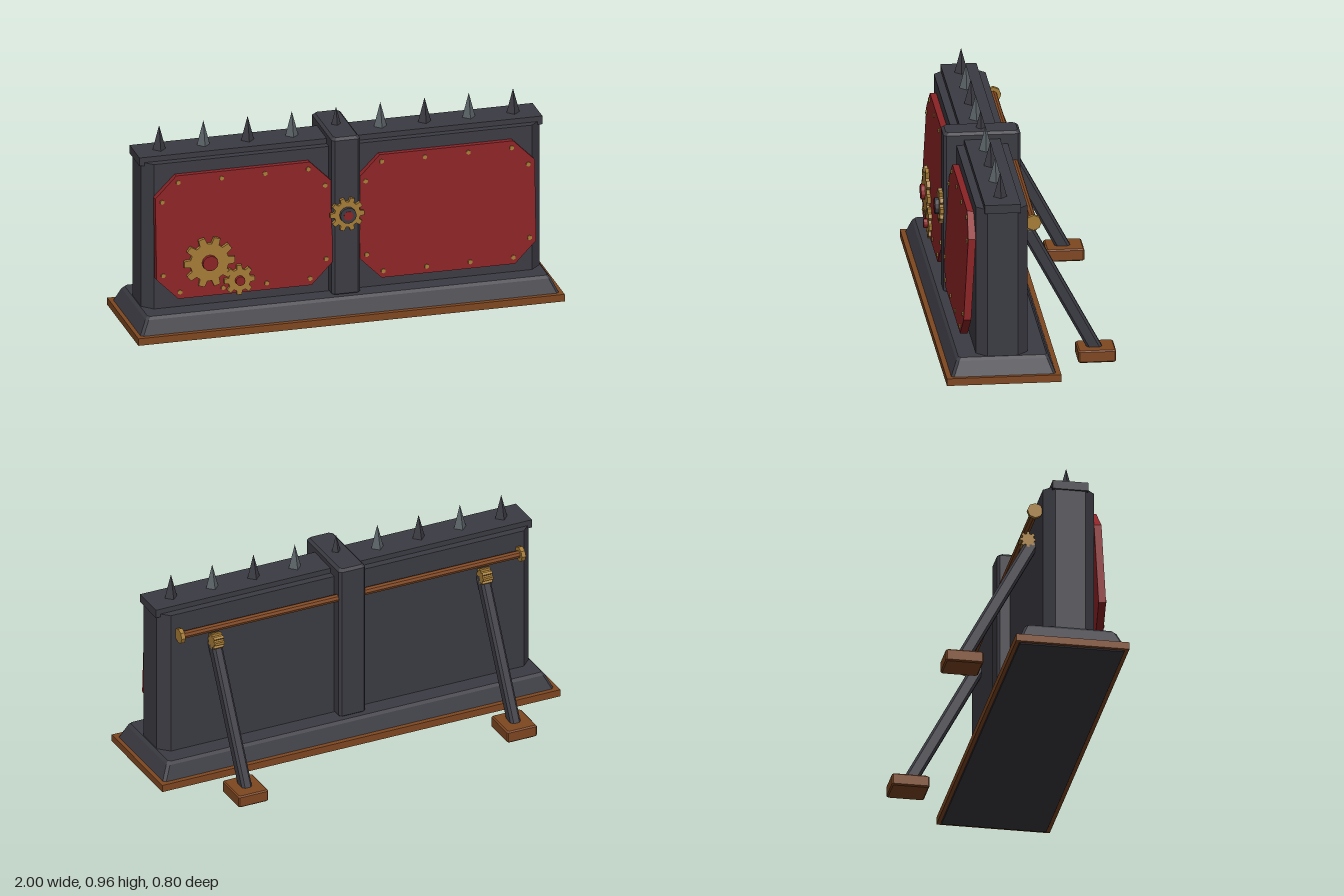
import * as THREE from 'three';

const material = (name, color) => {
  const m = new THREE.MeshStandardMaterial({ color });
  m.name = name;
  return m;
};

// Flat facets on any geometry
function flat(geometry) {
  const g = geometry.index ? geometry.toNonIndexed() : geometry;
  g.computeVertexNormals();
  return g;
}

// Stacks rectangles with cut corners; each level is [y, halfX, halfZ, cornerCut]
function loft(levels) {
  const rings = levels.map(([y, x, z, c]) => [
    [x, z - c], [x, c - z], [x - c, -z], [c - x, -z],
    [-x, c - z], [-x, z - c], [c - x, z], [x - c, z],
  ].map(([px, pz]) => [px, y, pz]));
  const pos = [];
  const tri = (...pts) => pts.forEach((p) => pos.push(...p));
  for (let k = 0; k < rings.length - 1; k++) {
    for (let i = 0; i < 8; i++) {
      const j = (i + 1) % 8, lo = rings[k], hi = rings[k + 1];
      tri(lo[i], lo[j], hi[j]);
      tri(lo[i], hi[j], hi[i]);
    }
  }
  const bottom = rings[0], top = rings[rings.length - 1];
  for (let i = 1; i < 7; i++) {
    tri(top[0], top[i], top[i + 1]);
    tri(bottom[0], bottom[i + 1], bottom[i]);
  }
  const g = new THREE.BufferGeometry();
  g.setAttribute('position', new THREE.Float32BufferAttribute(pos, 3));
  g.computeVertexNormals();
  return g;
}

// Box with all edges bevelled, standing on y0
const bevelBox = (hx, hz, y0, y1, b) => loft([
  [y0, hx - b, hz - b, b], [y0 + b, hx, hz, b], [y1 - b, hx, hz, b], [y1, hx - b, hz - b, b],
]);

// Toothed wheel lying in the XY plane, back face on z = 0
function gearGeometry(teeth, outer, root, depth) {
  const shape = new THREE.Shape();
  const step = (Math.PI * 2) / teeth;
  for (let i = 0; i < teeth; i++) {
    [[-0.32, root], [-0.2, outer], [0.2, outer], [0.32, root]].forEach(([t, r], k) => {
      const a = (i + t) * step;
      shape[i + k ? 'lineTo' : 'moveTo'](Math.cos(a) * r, Math.sin(a) * r);
    });
  }
  shape.closePath();
  return new THREE.ExtrudeGeometry(shape, { depth, bevelEnabled: false });
}

// Disc facing +z, back face on z = 0
const disc = (r, depth, sides) =>
  flat(new THREE.CylinderGeometry(r, r, depth, sides).rotateX(Math.PI / 2).translate(0, 0, depth / 2));

export function createModel() {
  const iron = material('dark iron', 0x3b3b43);
  const steel = material('spike steel', 0x5c6468);
  const red = material('red paint', 0x8c2326);
  const brass = material('brass', 0xa67c36);
  const copper = material('copper', 0x7f4721);

  const model = new THREE.Group();
  model.name = 'barricade';
  const add = (name, geometry, mat, x = 0, y = 0, z = 0, parent = model) => {
    const mesh = new THREE.Mesh(geometry, mat);
    mesh.name = name;
    mesh.position.set(x, y, z);
    parent.add(mesh);
    return mesh;
  };
  const midZ = 0.14;

  // Base, trim and sloped plinth
  add('baseUnderside', loft([[0, 0.98, 0.24, 0.005], [0.012, 0.985, 0.245, 0.005]]), iron, 0, 0, midZ);
  add('baseTrim', new THREE.BoxGeometry(2, 0.034, 0.52), copper, 0, 0.023, midZ);
  add('plinth', loft([
    [0.038, 0.982, 0.238, 0.012], [0.105, 0.95, 0.211, 0.012], [0.118, 0.938, 0.2, 0.012],
  ]), iron, 0, 0, midZ);

  // Wall with cut corners, cap and centre pillar
  add('wall', loft([[0.11, 0.935, 0.117, 0.048], [0.82, 0.935, 0.117, 0.048]]), iron, 0, 0, midZ);
  add('wallCap', new THREE.BoxGeometry(1.89, 0.04, 0.164), iron, 0, 0.825, midZ);
  add('pillar', bevelBox(0.067, 0.175, 0.11, 0.878, 0.012), iron, 0, 0, midZ);

  // Row of spikes, alternating shades
  const spike = flat(new THREE.ConeGeometry(0.031, 0.118, 4));
  for (let i = -4; i <= 4; i++) {
    add('spike', spike, i % 2 ? steel : iron, i * 0.2075, 0.902, midZ);
  }

  // Tilted red panels with rivets
  const w = 0.413, h = 0.293, c = 0.1;
  const outline = new THREE.Shape([
    [w, c - h], [w, h - c], [w - c, h], [c - w, h], [-w, h - c], [-w, c - h], [c - w, -h], [w - c, -h],
  ].map(([x, y]) => new THREE.Vector2(x, y)));
  const panelGeometry = new THREE.ExtrudeGeometry(outline, { depth: 0.034, bevelEnabled: false });
  const rivet = disc(0.011, 0.007, 6);
  for (const side of [-1, 1]) {
    const panel = new THREE.Group();
    panel.name = side > 0 ? 'leftPanel' : 'rightPanel';
    panel.position.set(side * 0.477, 0.472, 0.285);
    panel.rotation.x = -0.055;
    model.add(panel);
    add('panelPlate', panelGeometry, red, 0, 0, -0.017, panel);
    for (const sy of [-1, 1]) {
      for (const x of [-0.305, -0.102, 0.102, 0.305]) add('rivet', rivet, brass, x, sy * 0.261, 0.016, panel);
      for (const sx of [-1, 1]) add('rivet', rivet, brass, sx * 0.382, sy * 0.175, 0.016, panel);
    }
  }

  // Front gears with hubs
  const gear = (name, x, y, z, teeth, outer, root, hubR, hubMat) => {
    const g = new THREE.Group();
    g.name = name;
    g.position.set(x, y, z);
    model.add(g);
    add('gearWheel', gearGeometry(teeth, outer, root, 0.017), brass, 0, 0, 0, g);
    add('gearHub', disc(hubR, 0.035, 12), hubMat, 0, 0, 0, g);
    return g;
  };
  gear('largeGear', -0.645, 0.345, 0.309, 10, 0.12, 0.09, 0.036, red);
  gear('smallGear', -0.505, 0.245, 0.311, 8, 0.072, 0.053, 0.022, red);
  const pillarGear = gear('pillarGear', 0, 0.51, 0.315, 10, 0.08, 0.061, 0.038, iron);
  add('hubCentre', disc(0.022, 0.004, 12), red, 0, 0, 0.033, pillarGear);

  // Rear rail with end caps
  const rail = flat(new THREE.CylinderGeometry(0.018, 0.018, 1.7, 8).rotateZ(Math.PI / 2));
  add('rearRail', rail, copper, 0, 0.725, -0.008);
  const railCap = flat(new THREE.CylinderGeometry(0.036, 0.036, 0.02, 8).rotateZ(Math.PI / 2));
  const bracket = gearGeometry(8, 0.038, 0.028, 0.05).translate(0, 0, -0.025).rotateY(Math.PI / 2);

  // Rear struts with brackets and feet
  const strut = loft([[-0.345, 0.025, 0.031, 0.011], [0.345, 0.025, 0.031, 0.011]]);
  const foot = bevelBox(0.075, 0.086, 0, 0.058, 0.006);
  for (const side of [-1, 1]) {
    add('railCap', railCap, brass, side * 0.855, 0.725, -0.008);
    add('strutBracket', bracket, brass, side * 0.675, 0.657, -0.01);
    const brace = add('strut', strut, iron, side * 0.675, 0.345, -0.148);
    brace.rotation.x = Math.atan2(0.3, 0.56);
    add('strutFoot', foot, copper, side * 0.675, 0, -0.31);
  }
  return model;
}
